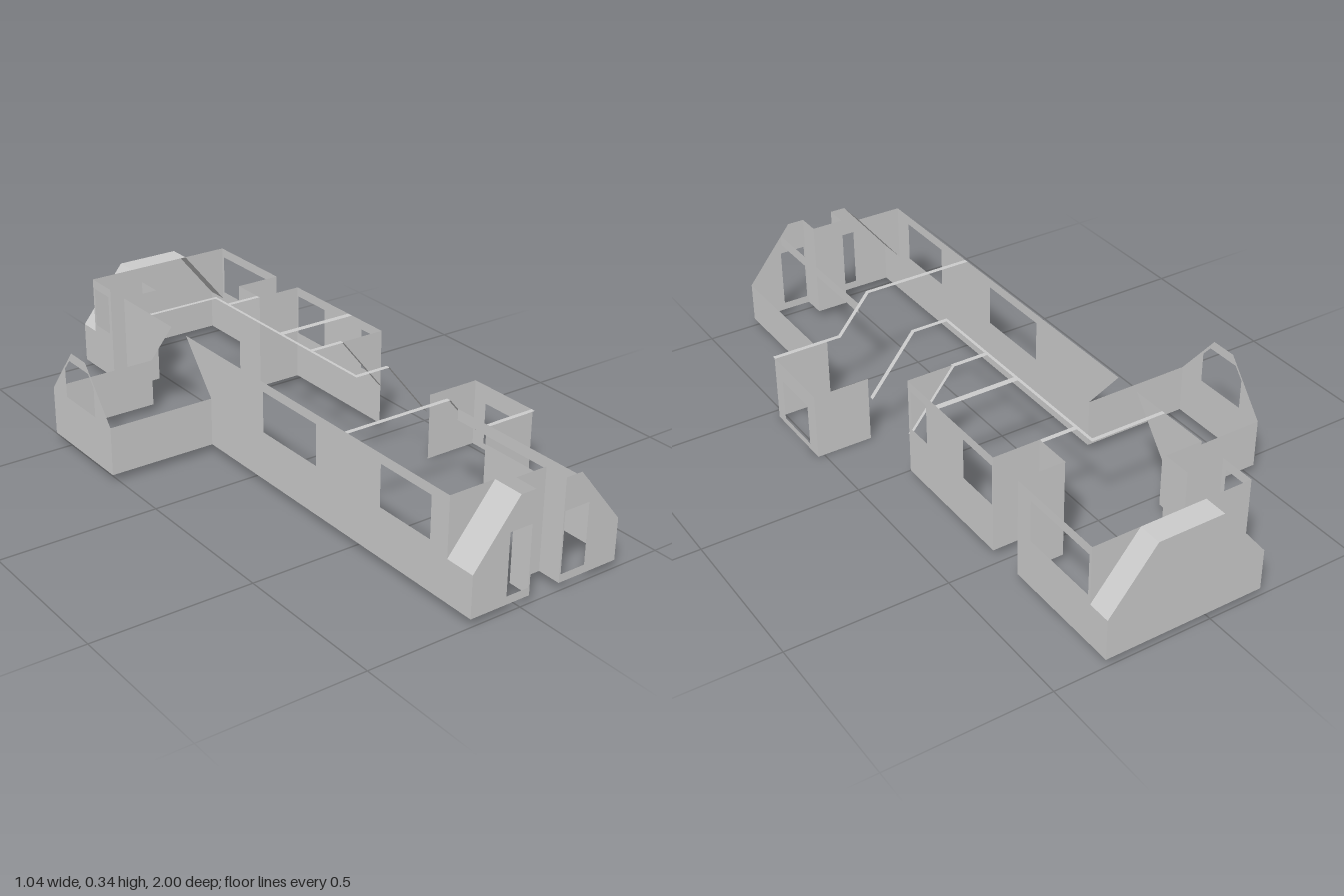
import * as THREE from 'three';

const B = 0.025, EAVE = 0.155, TOP = 0.34;   // wall base, eave and ridge heights
const R = -0.17, L = 0.34;                   // long side walls

export function createModel() {
  const group = new THREE.Group();
  const mat = new THREE.MeshStandardMaterial({ color: 0xcccccc, side: THREE.DoubleSide, flatShading: true });

  const add = (name, geo) => {
    const mesh = new THREE.Mesh(geo, mat);
    mesh.name = name;
    group.add(mesh);
    return mesh;
  };
  const v2 = (pts) => pts.map(([a, b]) => new THREE.Vector2(a, b));
  const rect = (a, b, y0, y1) => [[a, y0], [b, y0], [b, y1], [a, y1]];
  const sheet = (pts, holes) => {
    const s = new THREE.Shape(v2(pts));
    holes.forEach((h) => s.holes.push(new THREE.Path(v2(h))));
    return new THREE.ShapeGeometry(s);
  };
  // Wall across the house: outline in (x, y)
  const crossWall = (name, z, pts, holes = []) => add(name, sheet(pts, holes).translate(0, 0, z));
  // Wall along the house: outline in (z, y)
  const sideWall = (name, x, pts, holes = []) =>
    add(name, sheet(pts, holes).rotateY(-Math.PI / 2).translate(x, 0, 0));
  // Strip following an (x, y) path, between two z positions
  const strip = (name, pts, z0, z1) => {
    const pos = [], idx = [];
    pts.forEach(([x, y], i) => {
      pos.push(x, y, z0, x, y, z1);
      if (i) {
        const k = 2 * i;
        idx.push(k - 2, k - 1, k, k, k - 1, k + 1);
      }
    });
    const g = new THREE.BufferGeometry();
    g.setAttribute('position', new THREE.Float32BufferAttribute(pos, 3));
    g.setIndex(idx);
    g.computeVertexNormals();
    add(name, g.toNonIndexed());
  };

  // Right long wall, cut to the wing's roof line
  sideWall('rightWallFront', R,
    [[1, B], [1, EAVE], [0.9, EAVE], [0.9, TOP], [-0.345, TOP], [-0.21, 0.18], [-0.21, B]],
    [rect(0.62, 0.83, 0.18, 0.31), rect(0.07, 0.33, 0.18, 0.31)]);
  sideWall('rightWallMiddle', R,
    [[-0.56, B], [-0.56, 0.18], [-0.43, TOP], [-0.72, TOP], [-0.72, B]]);
  sideWall('rightWallBack', R,
    [[-0.81, B], [-0.81, TOP], [-0.925, TOP], [-0.925, EAVE], [-1, EAVE], [-1, B]],
    [rect(-0.915, -0.825, 0.18, 0.31)]);

  // Recessed side entrance
  crossWall('sideEntranceJambFront', -0.72, rect(R, -0.05, B, TOP));
  crossWall('sideEntranceJambBack', -0.81, rect(R, -0.05, B, TOP));
  sideWall('sideEntranceDoor', -0.05, rect(-0.81, -0.72, B, TOP));

  // Left long wall
  sideWall('leftWallFront', L, rect(0.465, 1, B, EAVE));
  sideWall('leftWallMiddle', L, rect(-0.475, -0.03, B, TOP),
    [rect(-0.13, -0.045, 0.18, 0.31), rect(-0.47, -0.325, 0.18, 0.31)]);
  sideWall('leftWallBack', L,
    [[-0.595, B], [-0.595, TOP], [-0.925, TOP], [-0.925, EAVE], [-1, EAVE], [-1, B]],
    [rect(-0.915, -0.655, 0.18, 0.31)]);

  // Niche in the left wall
  crossWall('nicheSideFront', -0.475, rect(0.19, L, B, TOP));
  crossWall('nicheSideBack', -0.595, rect(0.19, L, B, TOP));
  sideWall('nicheBack', 0.19, rect(-0.595, -0.475, B, TOP));

  // Back gable with clipped shoulders and its roof edge
  const hip = [[R, EAVE], [-0.02, TOP], [0.19, TOP], [L, EAVE]];
  crossWall('backGable', -1, [[R, B], ...hip, [L, B]]);
  strip('backRoofEdge', hip, -1, -0.925);

  // Triangles closing the wall above the eaves
  const rightTri = [[R, EAVE], [-0.02, TOP], [R, TOP]];
  const leftTri = [[L, EAVE], [L, TOP], [0.19, TOP]];
  crossWall('shoulderBackRight', -0.925, rightTri);
  crossWall('shoulderBackLeft', -0.925, leftTri);
  crossWall('shoulderFrontRight', 0.9, rightTri);
  crossWall('shoulderPorch', -0.03, leftTri);

  // Front gable in two halves with sidelights and a recessed door
  crossWall('frontGableRight', 1, [[R, B], [R, EAVE], [-0.02, TOP], [0.03, TOP], [0.03, B]],
    [rect(-0.05, 0.025, 0.05, 0.24)]);
  crossWall('frontGableLeft', 1, [[0.135, B], [0.135, TOP], [0.19, TOP], [L, EAVE], [L, B]],
    [rect(0.14, 0.225, 0.05, 0.24)]);
  for (const x of [0.03, 0.135]) sideWall('frontDoorJamb', x, rect(0.925, 1, B, TOP));
  crossWall('frontDoor', 0.925, rect(0.03, 0.135, B, TOP));
  strip('frontRoofEdge', [[R, EAVE], [-0.02, TOP]], 0.9, 1);
  sideWall('frontRoofRail', 0.22, rect(0.475, 1, 0.27, 0.305));

  // Side wing
  for (const z of [-0.21, -0.56]) crossWall('wingSide', z, rect(-0.52, R, B, 0.18));
  sideWall('wingGable', -0.52,
    [[-0.56, B], [-0.56, 0.18], [-0.43, TOP], [-0.345, TOP], [-0.21, 0.18], [-0.21, B]],
    [[[-0.475, 0.18], [-0.475, 0.275], [-0.445, 0.31], [-0.33, 0.31], [-0.3, 0.275], [-0.3, 0.18]]]);

  // Low bay
  for (const z of [0.465, 0.21]) crossWall('baySide', z, rect(L, 0.52, 0, 0.215));
  sideWall('bayFront', 0.52, rect(0.21, 0.465, 0, 0.215), [rect(0.26, 0.42, 0.02, 0.155)]);

  // Slim tie strips at wall-top height
  strip('bayFrame', [[R, TOP], [0.19, TOP], [0.295, 0.215], [0.52, 0.215]], 0.46, 0.475);
  strip('porchFrameFront', [[0.07, TOP], [0.19, TOP], [L, EAVE]], 0.185, 0.2);
  strip('porchFrameBack', [[0.07, TOP], [0.19, TOP], [L, EAVE]], -0.04, -0.025);
  strip('middleTie', [[0.07, TOP], [L, TOP]], -0.2, -0.18);
  strip('nicheTie', [[0.07, TOP], [0.19, TOP]], -0.49, -0.475);
  strip('wingTie', [[R, TOP], [0.07, TOP]], -0.56, -0.547);
  strip('spineTie', [[0.068, TOP], [0.078, TOP]], -0.56, 0.2);

  return group;
}
